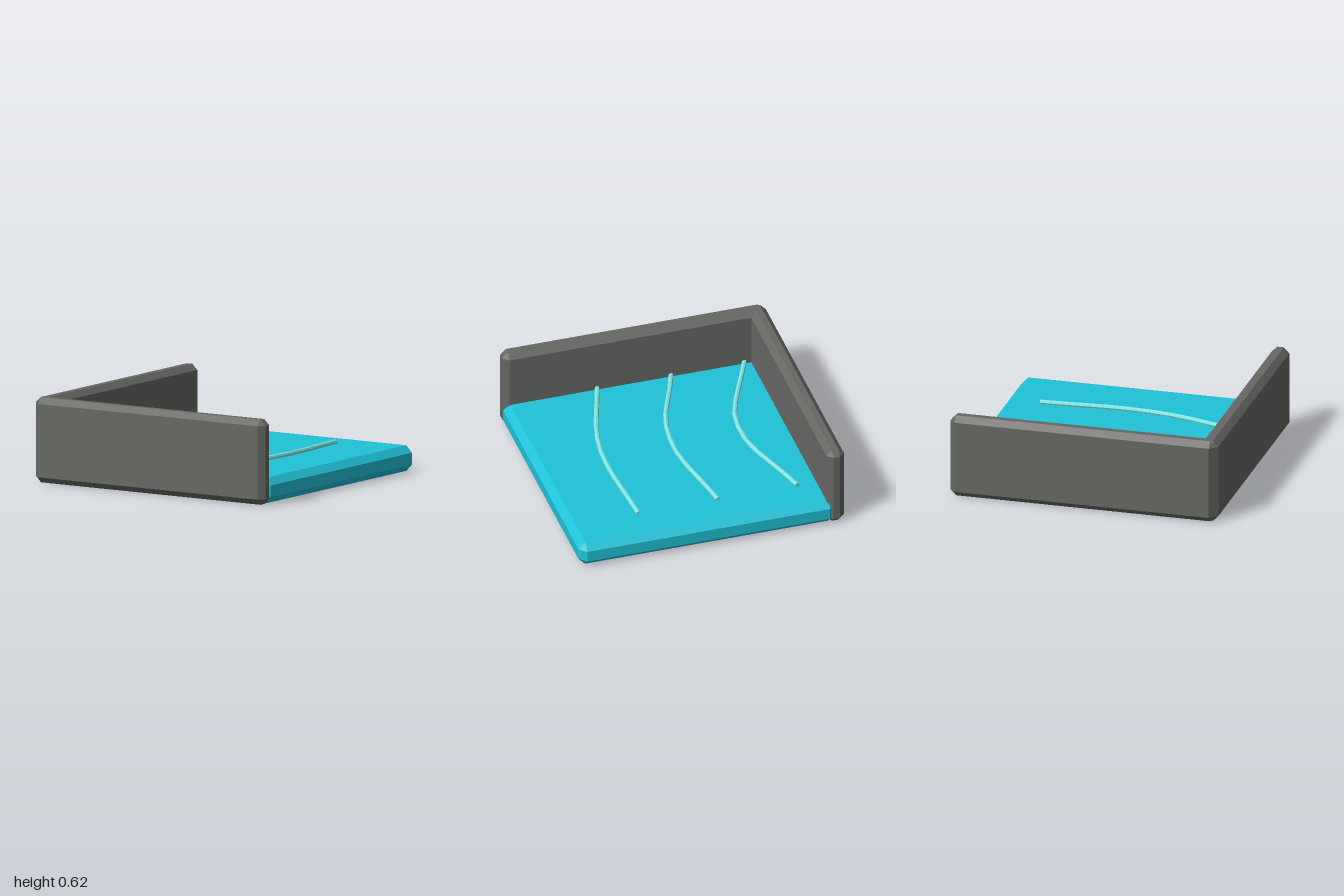
import * as THREE from 'three';
import { ConvexGeometry } from 'three/addons/geometries/ConvexGeometry.js';

const wallMat = new THREE.MeshStandardMaterial({ color: 0x666864, flatShading: true });
const waterMat = new THREE.MeshStandardMaterial({ color: 0x20c3d8, flatShading: true });
const waveMat = new THREE.MeshStandardMaterial({ color: 0x7fe6e0, flatShading: true });

// Box with all edges chamfered by b, given by its min and max corners
function chamferBox(name, min, max, b, material) {
  const half = min.map((v, i) => (max[i] - v) / 2);
  const mid = min.map((v, i) => (max[i] + v) / 2);
  const points = [];
  for (const sx of [-1, 1]) for (const sy of [-1, 1]) for (const sz of [-1, 1]) {
    const s = [sx, sy, sz];
    for (let full = 0; full < 3; full++) {
      points.push(new THREE.Vector3(...half.map((h, i) => s[i] * (i === full ? h : h - b))));
    }
  }
  const mesh = new THREE.Mesh(new ConvexGeometry(points), material);
  mesh.name = name;
  mesh.position.set(...mid);
  return mesh;
}

// Low-poly ripple lying on the water, with a flat cap on its free end
function ripple(name, xs) {
  const zs = [-0.73, -0.55, -0.24, -0.08, 0.08, 0.27, 0.43, 0.7, 0.88];
  const r = 0.018;
  const curve = new THREE.CatmullRomCurve3(zs.map((z, i) => new THREE.Vector3(xs[i], 0.2, z)));
  const group = new THREE.Group();
  group.name = name;
  const tube = new THREE.Mesh(new THREE.TubeGeometry(curve, 10, r, 8), waveMat);
  tube.name = name + 'Tube';
  const cap = new THREE.Mesh(new THREE.CircleGeometry(r, 8), waveMat);
  cap.name = name + 'Cap';
  cap.position.copy(curve.getPoint(0));
  cap.lookAt(cap.position.clone().sub(curve.getTangent(0)));
  group.add(tube, cap);
  return group;
}

export function createModel() {
  const model = new THREE.Group();
  model.name = 'waterCornerTile';

  // Water slab and the two walls meeting at a corner
  model.add(
    chamferBox('waterSlab', [-0.935, 0, -1], [1, 0.187, 0.935], 0.051, waterMat),
    chamferBox('frontWall', [-0.985, 0, 0.868], [1, 0.62, 1], 0.042, wallMat),
    chamferBox('sideWall', [-1, 0, -1], [-0.868, 0.62, 0.985], 0.042, wallMat)
  );

  // Ripples, straighter away from the side wall
  const ripples = [
    [-0.72, -0.67, -0.57, -0.535, -0.53, -0.555, -0.615, -0.74, -0.82],
    [-0.12, -0.09, -0.03, -0.012, -0.015, -0.04, -0.085, -0.2, -0.265],
    [0.48, 0.49, 0.512, 0.515, 0.507, 0.48, 0.44, 0.35, 0.292]
  ];
  ripples.forEach((xs, i) => model.add(ripple('ripple' + (i + 1), xs)));
  return model;
}
